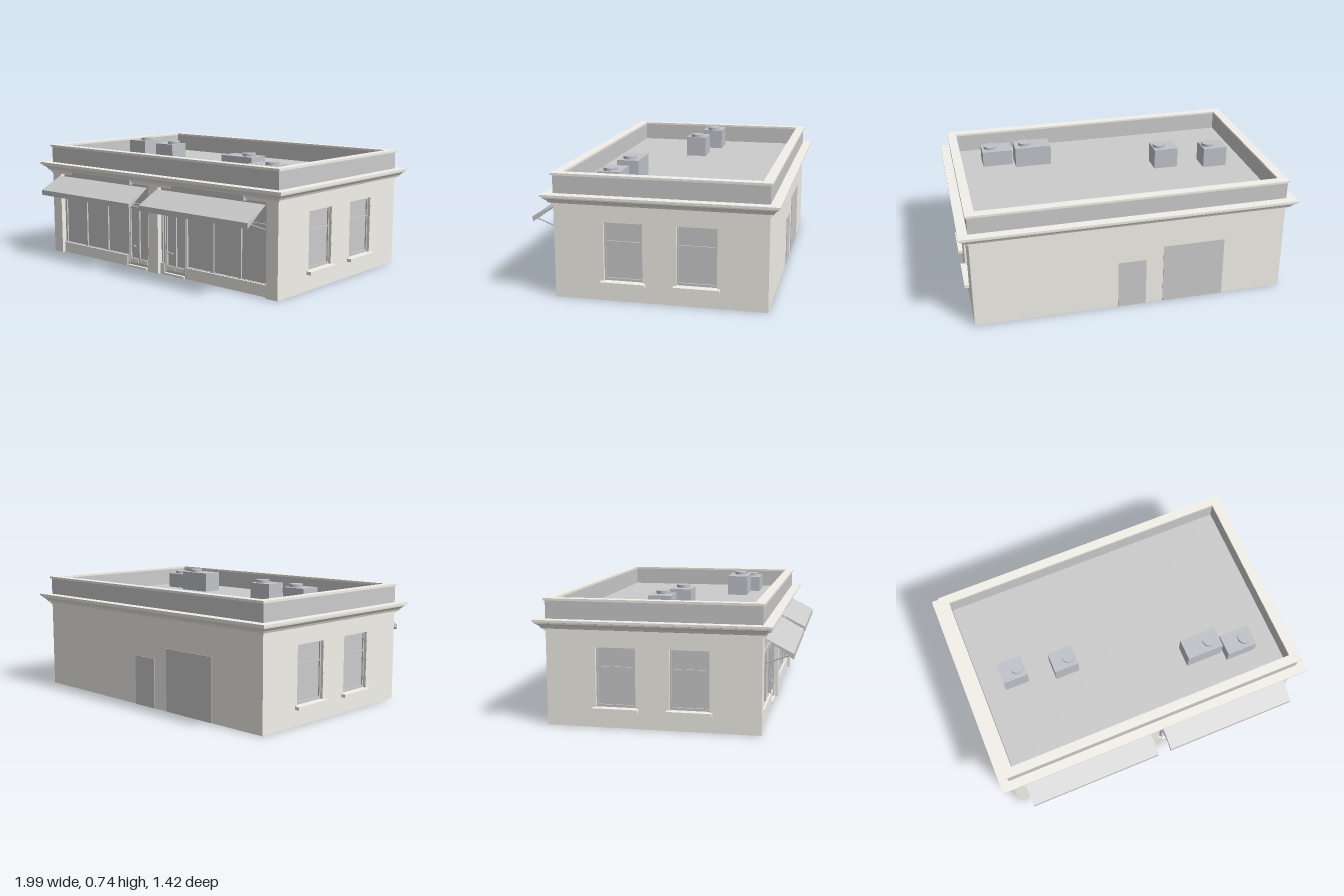
import * as THREE from 'three';

const W = 0.94, FRONT = 0.556, BACK = -0.651, WALL_TOP = 0.6;

const material = (color) => new THREE.MeshStandardMaterial({ color, side: THREE.DoubleSide });
const light = material(0xf3f1ea);
const grey = material(0xcccccc);
const metal = material(0xc0c4ca);

function add(parent, name, geometry, mat) {
  const mesh = new THREE.Mesh(geometry, mat);
  mesh.name = name;
  parent.add(mesh);
  return mesh;
}

// Box given by its extents on each axis
function box(parent, name, mat, x0, x1, y0, y1, z0, z1) {
  const geometry = new THREE.BoxGeometry(Math.abs(x1 - x0), y1 - y0, Math.abs(z1 - z0));
  geometry.translate((x0 + x1) / 2, (y0 + y1) / 2, (z0 + z1) / 2);
  return add(parent, name, geometry, mat);
}

function rectangle(x0, x1, y0, y1, Type = THREE.Shape) {
  const a = Math.min(x0, x1), b = Math.max(x0, x1);
  return new Type([[a, y0], [b, y0], [b, y1], [a, y1]].map(([x, y]) => new THREE.Vector2(x, y)));
}

function extrude(shape, depth) {
  return new THREE.ExtrudeGeometry(shape, { depth, bevelEnabled: false });
}

// Sweep a profile of [outward offset, height] round the four walls with mitred corners
function mitredBand(profile) {
  const corners = ([o, y]) => [
    [-W - o, y, FRONT + o], [W + o, y, FRONT + o], [W + o, y, BACK - o], [-W - o, y, BACK - o],
  ];
  const positions = [];
  for (let i = 0; i < profile.length - 1; i++) {
    const low = corners(profile[i]), high = corners(profile[i + 1]);
    for (let k = 0; k < 4; k++) {
      const n = (k + 1) % 4;
      positions.push(...low[k], ...low[n], ...high[n], ...low[k], ...high[n], ...high[k]);
    }
  }
  const geometry = new THREE.BufferGeometry();
  geometry.setAttribute('position', new THREE.Float32BufferAttribute(positions, 3));
  geometry.computeVertexNormals();
  return geometry;
}

// Sash window, sill and reveal, set into a side wall at x = W
function sideWindow(z0, z1) {
  const group = new THREE.Group();
  group.name = 'sideWindow';
  const frame = rectangle(-z1, -z0, 0.112, 0.453);
  frame.holes.push(rectangle(-z1 + 0.01, -z0 - 0.01, 0.128, 0.335, THREE.Path));
  frame.holes.push(rectangle(-z1 + 0.01, -z0 - 0.01, 0.343, 0.443, THREE.Path));
  const sash = add(group, 'windowFrame', extrude(frame, 0.012), grey);
  sash.rotation.y = Math.PI / 2;
  sash.position.x = W - 0.03;
  box(group, 'windowGlass', grey, W - 0.032, W - 0.026, 0.115, 0.45, z0 + 0.004, z1 - 0.004);
  for (const z of [z0, z1]) box(group, 'windowReveal', light, W - 0.032, W - 0.001, 0.112, 0.453, z - 0.001, z + 0.001);
  box(group, 'windowHead', light, W - 0.032, W - 0.001, 0.452, 0.454, z0, z1);
  box(group, 'windowSill', light, W - 0.03, W + 0.028, 0.095, 0.114, z0 - 0.016, z1 + 0.016);
  return group;
}

// One shop front; s is the side of the building it sits on
function shopFront(s) {
  const group = new THREE.Group();
  group.name = 'shopFront';
  const z = 0.512;

  // Glazed frame with three display windows, two door panes and a narrow sidelight
  const frame = rectangle(s * 0.04, s * 0.86, 0, 0.53);
  const panes = [
    [0.66, 0.845, 0.07, 0.37], [0.455, 0.642, 0.07, 0.37], [0.25, 0.438, 0.07, 0.37],
    [0.16, 0.23, 0.055, 0.37], [0.085, 0.152, 0.055, 0.37], [0.05, 0.066, 0.07, 0.37],
  ];
  for (const [a, b, y0, y1] of panes) frame.holes.push(rectangle(s * a, s * b, y0, y1, THREE.Path));
  add(group, 'shopFrame', extrude(frame, 0.012), grey).position.z = z;
  box(group, 'shopGlass', grey, s * 0.045, s * 0.855, 0.04, 0.4, z - 0.004, z + 0.002);

  // Low wall, rail and door parts
  box(group, 'stallRiser', light, s * 0.25, s * 0.86, 0, 0.068, z, z + 0.024);
  box(group, 'stallRiser', light, s * 0.04, s * 0.073, 0, 0.068, z, z + 0.024);
  box(group, 'transomRail', grey, s * 0.04, s * 0.86, 0.382, 0.405, z, z + 0.022);
  for (const x of [0.24, 0.073]) box(group, 'doorJamb', grey, s * x - 0.005, s * x + 0.005, 0, 0.38, z, z + 0.02);
  box(group, 'doorThreshold', light, s * 0.078, s * 0.237, 0, 0.012, z - 0.005, z + 0.03);
  for (const [a, b] of [[0.085, 0.152], [0.16, 0.23]]) {
    box(group, 'kickPlate', light, s * a, s * b, 0.028, 0.052, z, z + 0.016);
  }
  const handle = s > 0 ? 0.12 : -0.197;
  box(group, 'doorHandle', metal, handle - 0.018, handle + 0.018, 0.13, 0.138, z + 0.012, z + 0.026);

  // Sloping awning with a short front drop
  const profile = new THREE.Shape([[-0.562, 0.518], [-0.714, 0.44], [-0.714, 0.408]].map((p) => new THREE.Vector2(...p)));
  const awning = add(group, 'awning', extrude(profile, 0.818), grey);
  awning.rotation.y = Math.PI / 2;
  awning.position.x = s > 0 ? 0.041 : -0.859;
  for (const x of [0.05, 0.85]) {
    const path = new THREE.LineCurve3(new THREE.Vector3(s * x, 0.378, 0.55), new THREE.Vector3(s * x, 0.428, 0.685));
    add(group, 'awningArm', new THREE.TubeGeometry(path, 1, 0.004, 6), metal);
  }
  box(group, 'awningHousing', grey, s * 0.175, s * 0.72, 0.525, 0.56, 0.55, 0.578);
  return group;
}

export function createModel() {
  const model = new THREE.Group();
  model.name = 'shopBuilding';
  const windows = [[0.048, 0.272], [-0.37, -0.142]];

  // Side walls with window openings
  const side = rectangle(-FRONT, -BACK, 0, WALL_TOP);
  for (const [z0, z1] of windows) side.holes.push(rectangle(-z1, -z0, 0.112, 0.453, THREE.Path));
  for (const s of [1, -1]) {
    const wall = add(model, 'sideWall', new THREE.ShapeGeometry(side), light);
    wall.rotation.y = Math.PI / 2;
    wall.position.x = s * W;
    const set = new THREE.Group();
    set.name = 'sideWindows';
    for (const [z0, z1] of windows) set.add(sideWindow(z0, z1));
    set.scale.x = s;
    model.add(set);
  }

  // Front wall: three piers under a lintel
  const front = [
    [-W, 0], [-0.86, 0], [-0.86, 0.53], [-0.04, 0.53], [-0.04, 0], [0.04, 0], [0.04, 0.53],
    [0.86, 0.53], [0.86, 0], [W, 0], [W, WALL_TOP], [-W, WALL_TOP],
  ].map((p) => new THREE.Vector2(...p));
  add(model, 'frontWall', extrude(new THREE.Shape(front), 0.045), light).position.z = FRONT - 0.045;
  for (const s of [1, -1]) model.add(shopFront(s));

  // Back wall with a service door and a loading door
  add(model, 'backWall', new THREE.ShapeGeometry(rectangle(-W, W, 0, WALL_TOP)), light).position.z = BACK;
  box(model, 'serviceDoor', grey, -0.085, 0.085, 0, 0.3, BACK - 0.004, BACK + 0.004);
  box(model, 'loadingDoor', grey, -0.565, -0.19, 0, 0.375, BACK - 0.004, BACK + 0.004);

  // Roof, cornice, parapet and coping
  box(model, 'roof', grey, -W + 0.001, W - 0.001, 0.59, 0.598, BACK + 0.001, FRONT - 0.001);
  add(model, 'cornice', mitredBand([
    [0, 0.537], [0.009, 0.537], [0.009, 0.549], [0.02, 0.552], [0.026, 0.564], [0.038, 0.576],
    [0.046, 0.58], [0.048, 0.588], [0.057, 0.59], [0.057, 0.603], [0, 0.603],
  ]), light);
  add(model, 'parapetOutside', mitredBand([[0, 0.6], [0, 0.706]]), grey);
  add(model, 'parapetInside', mitredBand([[-0.046, 0.706], [-0.046, 0.595]]), grey);
  add(model, 'coping', mitredBand([[0, 0.705], [0.009, 0.705], [0.009, 0.718], [-0.046, 0.718], [-0.046, 0.705]]), light);

  // Rooftop units: x0, x1, z0, z1, top, fan x, fan z
  const units = [
    [-0.762, -0.61, -0.11, 0.02, 0.723, -0.655, -0.045],
    [-0.452, -0.302, -0.056, 0.072, 0.723, -0.345, 0.008],
    [0.323, 0.55, 0.174, 0.302, 0.723, 0.484, 0.24],
    [0.564, 0.752, 0.227, 0.36, 0.695, 0.698, 0.297],
  ];
  for (const [x0, x1, z0, z1, top, fx, fz] of units) {
    const unit = new THREE.Group();
    unit.name = 'rooftopUnit';
    box(unit, 'unitHousing', metal, x0, x1, 0.597, top, z0, z1);
    add(unit, 'unitFan', new THREE.CylinderGeometry(0.04, 0.04, 0.018, 24), metal).position.set(fx, top + 0.008, fz);
    model.add(unit);
  }
  return model;
}
